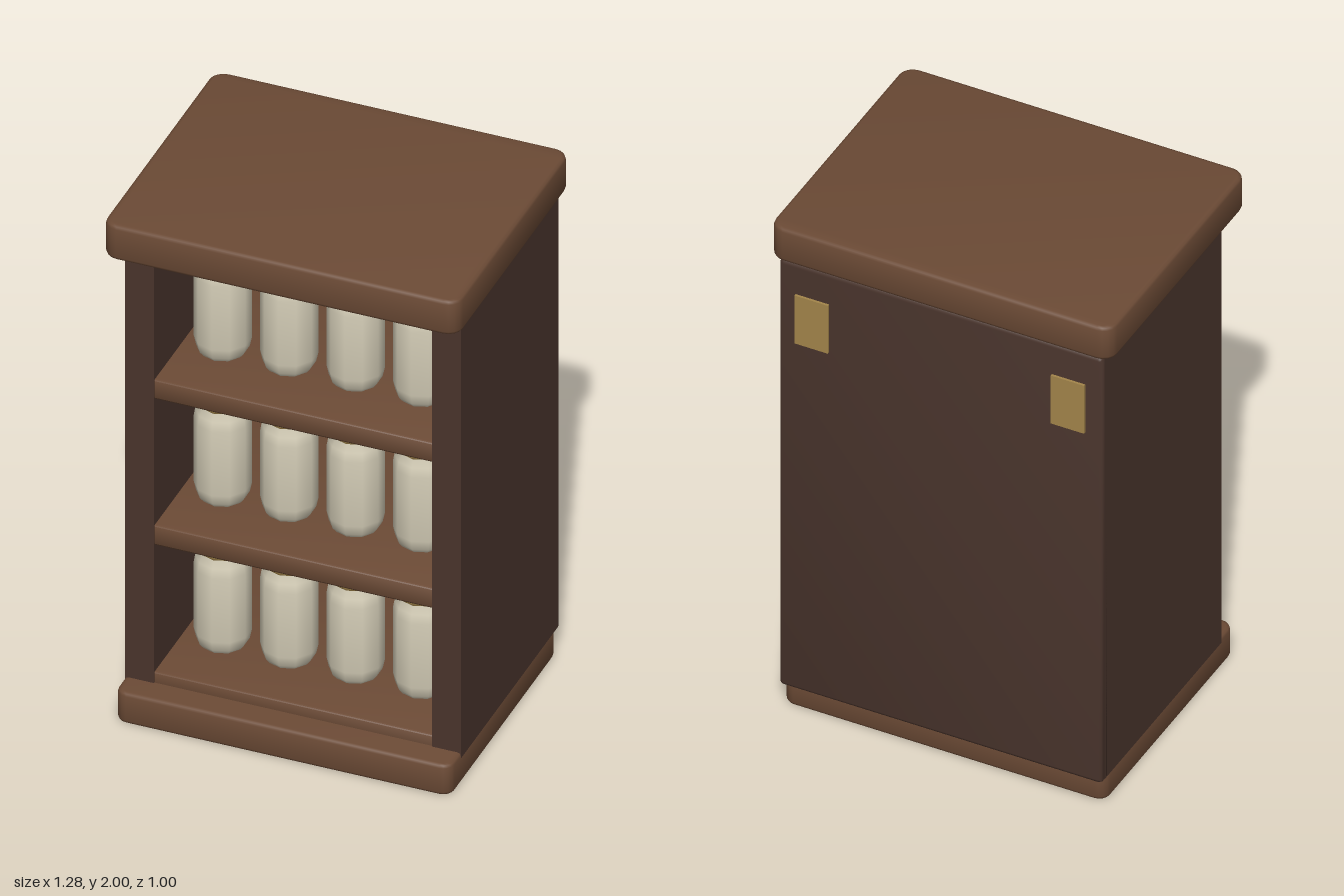
import * as THREE from 'three';
import { toCreasedNormals } from 'three/addons/utils/BufferGeometryUtils.js';

const mat = (color) => new THREE.MeshStandardMaterial({ color });

// Horizontal board with rounded plan corners and a small bevel all round
function board(w, h, d, radius, bevel) {
  const x = w / 2 - bevel, y = d / 2 - bevel, r = radius;
  const s = new THREE.Shape();
  s.moveTo(-x + r, -y);
  s.lineTo(x - r, -y);
  s.absarc(x - r, -y + r, r, -Math.PI / 2, 0);
  s.absarc(x - r, y - r, r, 0, Math.PI / 2);
  s.absarc(-x + r, y - r, r, Math.PI / 2, Math.PI);
  s.absarc(-x + r, -y + r, r, Math.PI, Math.PI * 1.5);
  const g = new THREE.ExtrudeGeometry(s, {
    depth: h - 2 * bevel, curveSegments: 2,
    bevelEnabled: true, bevelSize: bevel, bevelThickness: bevel, bevelSegments: 2,
  });
  g.rotateX(-Math.PI / 2);
  g.translate(0, bevel - h / 2, 0);
  return toCreasedNormals(g, 0.85);
}

export function createModel() {
  const group = new THREE.Group();
  const wood = mat(0x6b4a35), darkWood = mat(0x49342c);
  const glass = mat(0xd3ccb6), brass = mat(0xa3854a);

  const add = (name, geometry, material, x, y, z, parent = group) => {
    const mesh = new THREE.Mesh(geometry, material);
    mesh.name = name;
    mesh.position.set(x, y, z);
    parent.add(mesh);
    return mesh;
  };

  // Top and base slabs
  add('topSlab', board(1.28, 0.135, 0.995, 0.04, 0.013), wood, 0, 1.9325, 0.0025);
  add('baseSlab', board(1.208, 0.12, 0.94, 0.03, 0.012), wood, 0, 0.06, 0.005);

  // Side walls
  for (const s of [-1, 1]) {
    add(s > 0 ? 'leftWall' : 'rightWall', new THREE.BoxGeometry(0.105, 1.78, 0.85),
      darkWood, s * 0.5525, 0.99, -0.045);
  }

  // Back panel with bevelled edges, and its two brass plates
  const back = board(1.21, 0.05, 1.775, 0.005, 0.012);
  back.rotateX(Math.PI / 2);
  add('backPanel', back, darkWood, 0, 0.9775, -0.462);
  for (const s of [-1, 1]) {
    add('hangerPlate', new THREE.BoxGeometry(0.125, 0.2, 0.02), brass, s * 0.48, 1.64, -0.486);
  }

  // Shelves: bottom, two middle, and the ceiling board
  for (const [low, high] of [[0.085, 0.163], [0.67, 0.75], [1.255, 1.333], [1.82, 1.88]]) {
    add('shelf', board(1.01, high - low, 0.82, 0.002, 0.006), wood, 0, (low + high) / 2, -0.034);
  }

  // Jar body and lid profiles (radius, height)
  const lathe = (pts) => toCreasedNormals(
    new THREE.LatheGeometry(pts.map(([r, y]) => new THREE.Vector2(r, y)), 10), 0.9);
  const bodyGeo = lathe([[0, 0], [0.076, 0], [0.09, 0.018], [0.098, 0.055],
    [0.098, 0.31], [0.092, 0.345], [0.076, 0.375], [0.076, 0.39]]);
  const lidGeo = lathe([[0, 0.375], [0.083, 0.375], [0.09, 0.387], [0.09, 0.425],
    [0.083, 0.445], [0, 0.445]]);

  // Three rows of four jars
  for (const y of [0.163, 0.75, 1.333]) {
    for (let i = 0; i < 4; i++) {
      const jar = new THREE.Group();
      jar.name = 'jar';
      jar.position.set(-0.359 + i * 0.239, y, 0.12);
      add('jarBody', bodyGeo, glass, 0, 0, 0, jar);
      add('jarLid', lidGeo, brass, 0, 0, 0, jar);
      group.add(jar);
    }
  }
  return group;
}
